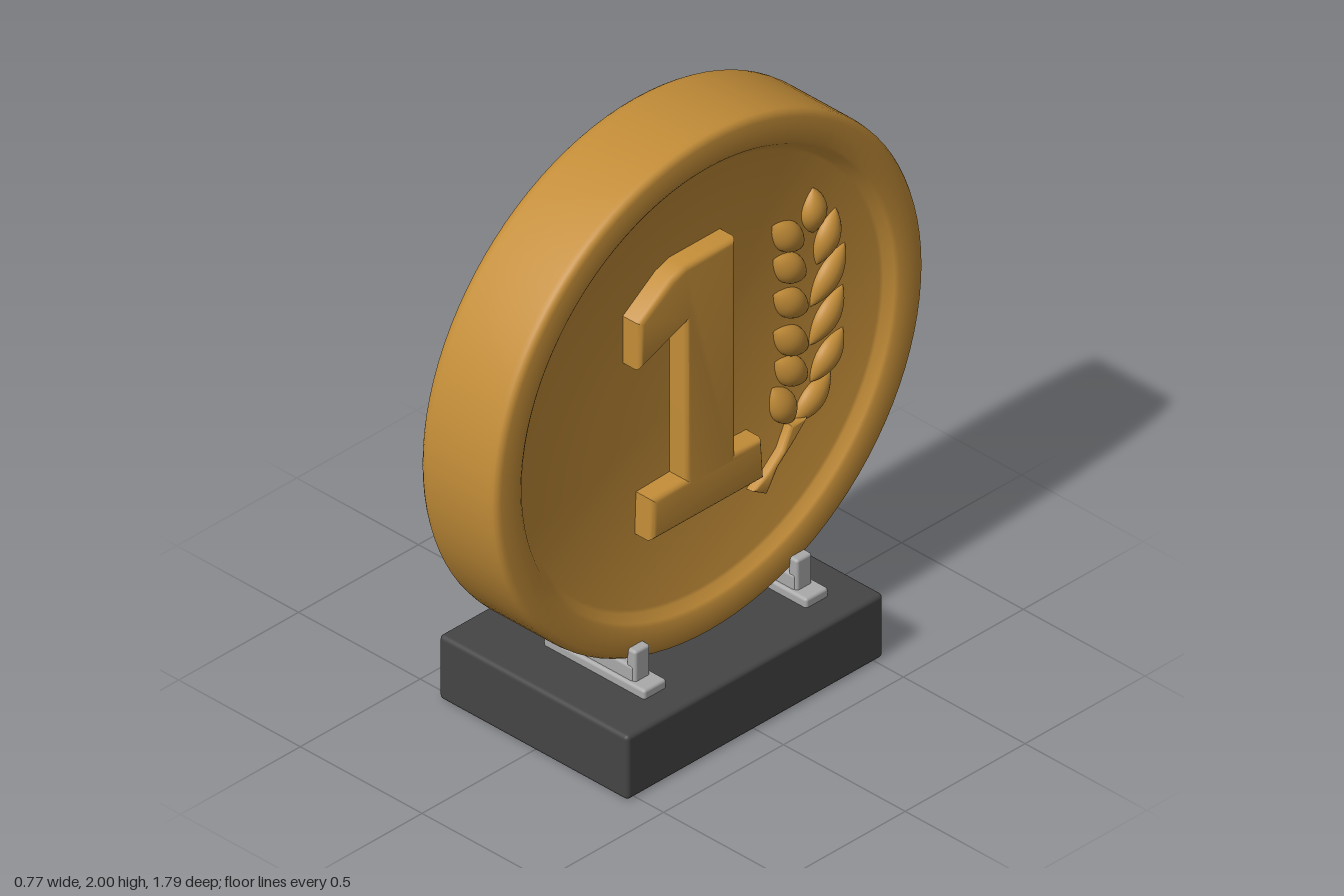
import * as THREE from 'three';
import { toCreasedNormals } from 'three/addons/utils/BufferGeometryUtils.js';
import { RoundedBoxGeometry } from 'three/addons/geometries/RoundedBoxGeometry.js';

const mat = (name, color) => Object.assign(new THREE.MeshStandardMaterial({ color }), { name });

export function createModel() {
  const model = new THREE.Group();
  const gold = mat('gold', 0xc38d38);
  const charcoal = mat('charcoal', 0x454545);
  const silver = mat('silver', 0xaaaaaa);

  const add = (parent, name, geometry, material) => {
    const mesh = new THREE.Mesh(geometry, material);
    mesh.name = name;
    parent.add(mesh);
    return mesh;
  };
  const box = (parent, name, material, r, x0, x1, y0, y1, z0, z1) =>
    add(parent, name, new RoundedBoxGeometry(x1 - x0, y1 - y0, z1 - z0, 3, r), material)
      .position.set((x0 + x1) / 2, (y0 + y1) / 2, (z0 + z1) / 2);

  // Plinth
  box(model, 'base', charcoal, 0.015, -0.39, 0.385, 0, 0.225, -0.535, 0.535);

  // Coin with a raised rim and a recessed field on each face
  const halfProfile = [[0, 0.118], [0.745, 0.118], [0.757, 0.122], [0.778, 0.148], [0.79, 0.156],
    [0.87, 0.157], [0.886, 0.152], [0.893, 0.142], [0.895, 0.125]];
  const profile = [
    ...halfProfile.map(([r, h]) => new THREE.Vector2(r, -h)),
    ...halfProfile.slice().reverse().map(([r, h]) => new THREE.Vector2(r, h)),
  ];
  const coinGeometry = new THREE.LatheGeometry(profile, 96);
  coinGeometry.rotateZ(-Math.PI / 2);
  coinGeometry.scale(1, 0.875 / 0.895, 1);
  const coin = add(model, 'coin', toCreasedNormals(coinGeometry, 0.7), gold);
  coin.position.set(0.042, 1.125, 0);

  // Reliefs are drawn in a plane whose normal is +x
  const reliefs = new THREE.Group();
  reliefs.name = 'reliefs';
  reliefs.rotation.y = Math.PI / 2;
  model.add(reliefs);

  const relief = (name, points, from, to, bevel) => {
    const shape = new THREE.Shape(points.map(([u, y]) => new THREE.Vector2(u, y)));
    const geometry = new THREE.ExtrudeGeometry(shape, {
      depth: to - from - 2 * bevel, bevelEnabled: true, bevelThickness: bevel,
      bevelSize: bevel, bevelOffset: -bevel, bevelSegments: 4,
    });
    geometry.translate(0, 0, from + bevel);
    add(reliefs, name, toCreasedNormals(geometry, 0.6), gold);
  };

  // Numeral bar running right through the coin
  relief('numeral', [
    [-0.275, 0.715], [0.2, 0.715], [0.19, 0.86], [0.08, 0.865], [0.08, 1.62], [-0.13, 1.62],
    [-0.19, 1.6], [-0.325, 1.505], [-0.325, 1.34], [-0.13, 1.415], [-0.13, 0.865], [-0.27, 0.86],
  ], -0.15, 0.23, 0.02);

  // Wheat stem
  relief('wheatStem', [
    [0.19, 0.652], [0.25, 0.615], [0.297, 0.69], [0.366, 0.75], [0.42, 0.81],
    [0.35, 0.81], [0.313, 0.737], [0.26, 0.69],
  ], 0.13, 0.19, 0.012);

  // Wheat grains: base and tip of each
  const grainProfile = [];
  for (let i = 0; i <= 12; i++) {
    const t = i / 12;
    grainProfile.push(new THREE.Vector2(Math.pow(Math.sin(Math.PI * t), 0.8) * 0.5, t - 0.5));
  }
  const grainGeometry = new THREE.LatheGeometry(grainProfile, 20);
  [
    [0.467, 1.42, 0.467, 1.58],
    [0.424, 1.395, 0.297, 1.525], [0.435, 1.285, 0.302, 1.405], [0.445, 1.16, 0.302, 1.28],
    [0.445, 1.025, 0.302, 1.15], [0.44, 0.92, 0.308, 1.04], [0.38, 0.795, 0.297, 0.955],
    [0.483, 1.30, 0.562, 1.465], [0.455, 1.165, 0.6, 1.325], [0.452, 1.03, 0.592, 1.18],
    [0.455, 0.9, 0.592, 1.03], [0.38, 0.79, 0.54, 0.9],
  ].forEach(([u0, y0, u1, y1]) => {
    const grain = add(reliefs, 'wheatGrain', grainGeometry, gold);
    grain.position.set((u0 + u1) / 2, (y0 + y1) / 2, 0.16);
    grain.rotation.z = Math.atan2(u0 - u1, y1 - y0);
    grain.scale.set(0.095, Math.hypot(u1 - u0, y1 - y0), 0.078);
  });

  // Two cradles holding the coin's lower edge
  for (const z of [0.31, -0.365]) {
    const cradle = new THREE.Group();
    cradle.name = 'cradle';
    cradle.position.z = z;
    model.add(cradle);
    box(cradle, 'cradleFoot', silver, 0.01, -0.135, 0.28, 0.215, 0.255, -0.047, 0.047);
    box(cradle, 'cradleSaddle', silver, 0.01, -0.13, 0.22, 0.235, 0.305, -0.035, 0.035);
    box(cradle, 'innerProng', silver, 0.01, -0.137, -0.105, 0.24, 0.36, -0.032, 0.032);
    box(cradle, 'outerProng', silver, 0.01, 0.19, 0.228, 0.24, 0.36, -0.032, 0.032);
  }

  return model;
}
